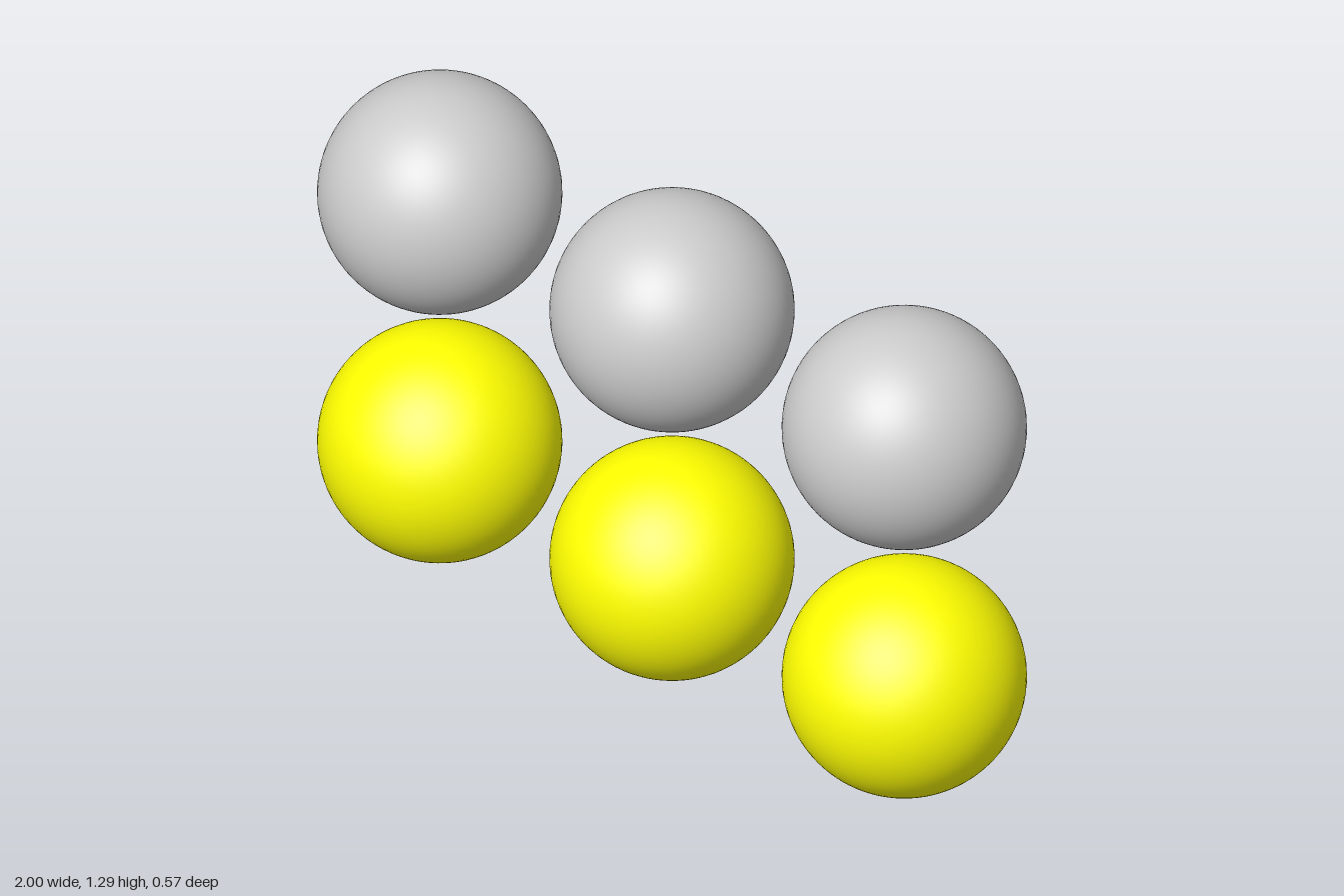
import * as THREE from 'three';

const RADIUS = 2 / 7;
const SPACING = 5 / 7;

export function createModel() {
  const model = new THREE.Group();
  model.name = 'sphereGrid';

  const ball = new THREE.SphereGeometry(RADIUS, 64, 48);
  const rows = [
    { name: 'lower', material: new THREE.MeshStandardMaterial({ color: 0xffff00 }) },
    { name: 'upper', material: new THREE.MeshStandardMaterial({ color: 0xcccccc }) },
  ];
  const columns = ['Right', 'Middle', 'Left'];

  // Two rows of three separate balls, the lower row resting on the ground
  rows.forEach(({ name, material }, row) => {
    columns.forEach((column, i) => {
      const sphere = new THREE.Mesh(ball, material);
      sphere.name = `${name}${column}Ball`;
      sphere.position.set((i - 1) * SPACING, RADIUS + row * SPACING, 0);
      model.add(sphere);
    });
  });

  return model;
}
